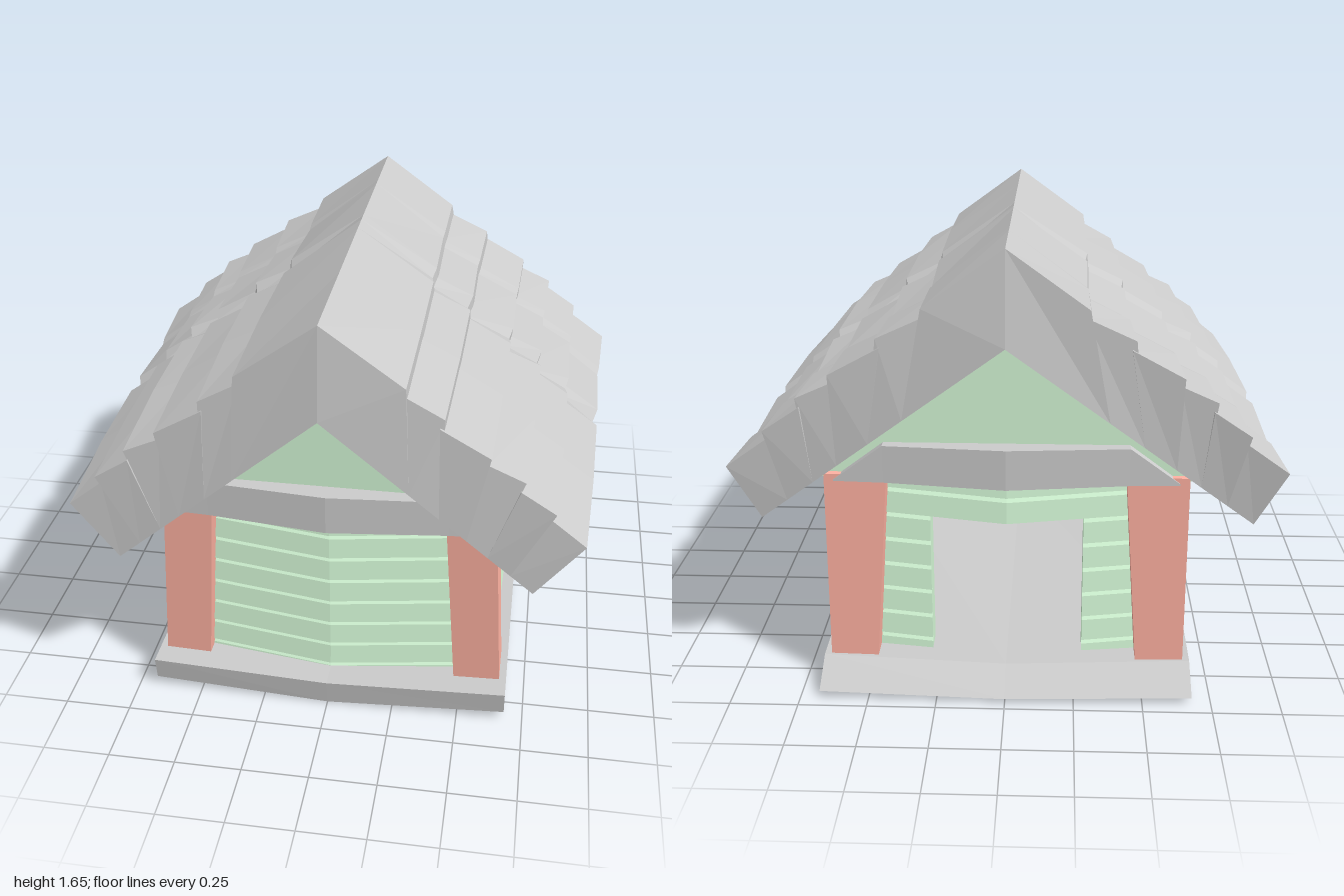
import * as THREE from 'three';

const material = (color) => new THREE.MeshStandardMaterial({ color, flatShading: true, side: THREE.DoubleSide });
const lerp = THREE.MathUtils.lerp;

// Skin a row of equal point loops, capped at both ends
function loft(loops) {
  const pos = [];
  const tri = (...pts) => pts.forEach((p) => pos.push(...p));
  const n = loops[0].length;
  for (let s = 0; s < loops.length - 1; s++) {
    for (let i = 0; i < n; i++) {
      const j = (i + 1) % n;
      const [a, b, c, d] = [loops[s][i], loops[s][j], loops[s + 1][j], loops[s + 1][i]];
      tri(a, b, c);
      tri(a, c, d);
    }
  }
  const first = loops[0], last = loops[loops.length - 1];
  for (let i = 1; i < n - 1; i++) {
    tri(first[0], first[i + 1], first[i]);
    tri(last[0], last[i], last[i + 1]);
  }
  const geo = new THREE.BufferGeometry();
  geo.setAttribute('position', new THREE.Float32BufferAttribute(pos, 3));
  geo.computeVertexNormals();
  return geo;
}

// Mirror loops across x = 0, keeping the faces outward
const mirrored = (loops) => loops.map((l) => l.map(([x, y, z]) => [-x, y, z]).reverse());

export function createModel() {
  const model = new THREE.Group();
  const grey = material(0xcccccc), green = material(0xd6fad8), red = material(0xffb2a2);
  const add = (name, geo, mat, parent = model) => {
    const mesh = new THREE.Mesh(geo, mat);
    mesh.name = name;
    parent.add(mesh);
    return mesh;
  };

  // Sagging floor slab with a thin ramp at the back
  const floorEnd = (x) => [[x, 0.035, 0.845], [x, 0.025, -0.945], [x, 0.1, -0.81], [x, 0.13, 0.86]];
  const floorMid = [[0, 0, 0.85], [0, 0.015, -0.96], [0, 0.085, -0.83], [0, 0.105, 0.865]];
  add('floor', loft([floorEnd(-0.68), floorMid, floorEnd(0.68)]), grey);

  // Leaning corner posts
  const ring = (y, x0, x1, z0, z1) => [[x0, y, z1], [x1, y, z1], [x1, y, z0], [x0, y, z0]];
  const posts = {
    frontPost: [ring(0.1, 0.48, 0.655, 0.6, 0.768), ring(0.82, 0.43, 0.612, 0.6, 0.785)],
    backPost: [ring(0.08, 0.48, 0.655, -0.8, -0.64), ring(0.82, 0.43, 0.655, -0.785, -0.62)],
  };
  for (const [name, loops] of Object.entries(posts)) {
    add(name + 'Left', loft(loops), red);
    add(name + 'Right', loft(mirrored(loops)), red);
  }

  // Lapped siding: a saw-tooth stack of boards facing +z, bowed by "bow" and sagging by "sag" at u = 0
  const boardH = 0.1, wallBase = 0.05, lap = 0.018, thick = 0.08;
  function siding(u0, u1, face, from, to, bow, sag, half) {
    const us = u0 < 0 && u1 > 0 ? [u0, 0, u1] : [u0, (u0 + u1) / 2, u1];
    const row = (y, out) => {
      const point = (u, w) => {
        const k = 1 - Math.abs(u) / half;
        return [u, y - sag * k, face + w + bow * k];
      };
      return [...us.map((u) => point(u, out)), ...[...us].reverse().map((u) => point(u, -thick))];
    };
    const rows = [];
    for (let i = from; i < to; i++) {
      const y = wallBase + i * boardH;
      rows.push(row(y, lap), row(y + boardH * 0.8, lap * 0.6), row(y + boardH, 0));
    }
    return loft(rows);
  }
  const endWall = (u0, u1, from, to) => siding(u0, u1, 0.7, from, to, 0.05, 0.025, 0.5);

  add('frontWall', endWall(-0.5, 0.5, 0, 8), green);
  for (const [name, turn] of [['leftWall', 1], ['rightWall', -1]]) {
    add(name, siding(-0.66, 0.66, 0.605, 0, 8, 0.015, 0.005, 0.66), green).rotation.y = (turn * Math.PI) / 2;
  }

  // Back wall with an open doorway
  const backWall = new THREE.Group();
  backWall.name = 'backWall';
  backWall.rotation.y = Math.PI;
  model.add(backWall);
  add('doorSideA', endWall(-0.5, -0.28, 0, 6), green, backWall);
  add('doorSideB', endWall(0.28, 0.5, 0, 6), green, backWall);
  add('doorHeader', endWall(-0.5, 0.5, 6, 8), green, backWall);

  // Gable beam and gable panel at each end
  const beamLoop = (x, y0, y1, z) => [[x, y0, z], [x, y0, 0.66], [x, y1, 0.66], [x, y1, z]];
  const beam = loft([
    beamLoop(-0.62, 0.795, 0.8, 0.79), beamLoop(-0.44, 0.795, 0.935, 0.8), beamLoop(0, 0.785, 0.935, 0.835),
    beamLoop(0.44, 0.795, 0.935, 0.8), beamLoop(0.62, 0.795, 0.8, 0.79),
  ]);
  const triangle = new THREE.Shape([[-0.7, 0.8], [0.7, 0.8], [0, 1.4]].map((p) => new THREE.Vector2(...p)));
  const panel = new THREE.ExtrudeGeometry(triangle, { depth: 0.04, bevelEnabled: false }).translate(0, 0, 0.72);
  for (const [name, turn] of [['front', 0], ['back', Math.PI]]) {
    add(name + 'Beam', beam, grey).rotation.y = turn;
    add(name + 'Gable', panel, green).rotation.y = turn;
  }

  // Roof planks: outer edges run from ridge to eave, flaring towards the back
  const front = { x: [0, 0.29, 0.42, 0.58, 0.7, 0.81, 0.92], y: [1.65, 1.44, 1.33, 1.2, 1.11, 1.0, 0.87], eave: [0.75, 0.66] };
  const back = { x: [0, 0.29, 0.45, 0.62, 0.74, 0.86, 1.0], y: [1.65, 1.44, 1.33, 1.2, 1.11, 0.99, 0.85], eave: [0.89, 0.64] };
  const inner = [0, 0.41, 0.55, 0.68, 0.78, 0.89, 1];
  // Stations along the ridge: share of the way to the front, and warp of the planks
  const stations = [[0, 0], [0.18, -0.006], [0.21, -0.014], [0.42, 0.004], [0.45, -0.022], [0.5, 0.006], [0.75, 0.01], [1, 0]];

  for (let k = 0; k < 6; k++) {
    const stagger = k % 2 ? 0.012 : 0;
    const tuck = k ? 0.03 : 0;
    const loops = stations.map(([t, warp]) => {
      const outer = (i) => {
        const bend = i ? warp * (i % 2 ? 0.8 : 1.2) : 0;
        return [lerp(back.x[i], front.x[i], t) + bend * 0.5, lerp(back.y[i], front.y[i], t) + bend];
      };
      const under = (i) => [
        lerp(back.eave[0], front.eave[0], t) * inner[i],
        lerp(1.31, lerp(back.eave[1], front.eave[1], t), inner[i]),
      ];
      const zOuter = lerp(-0.815 + stagger, 0.92 - stagger, t);
      const zUnder = (i) => lerp(-0.85 + 0.08 * inner[i], 0.955 - 0.04 * inner[i], t);
      const top = outer(k);
      return [
        [...under(k), zUnder(k)],
        [...under(k + 1), zUnder(k + 1)],
        [...outer(k + 1), zOuter],
        [top[0] - tuck * 0.5, top[1] - tuck, zOuter],
      ];
    });
    add('roofPlankLeft' + (k + 1), loft(loops), grey);
    add('roofPlankRight' + (k + 1), loft(mirrored(loops)), grey);
  }
  return model;
}
